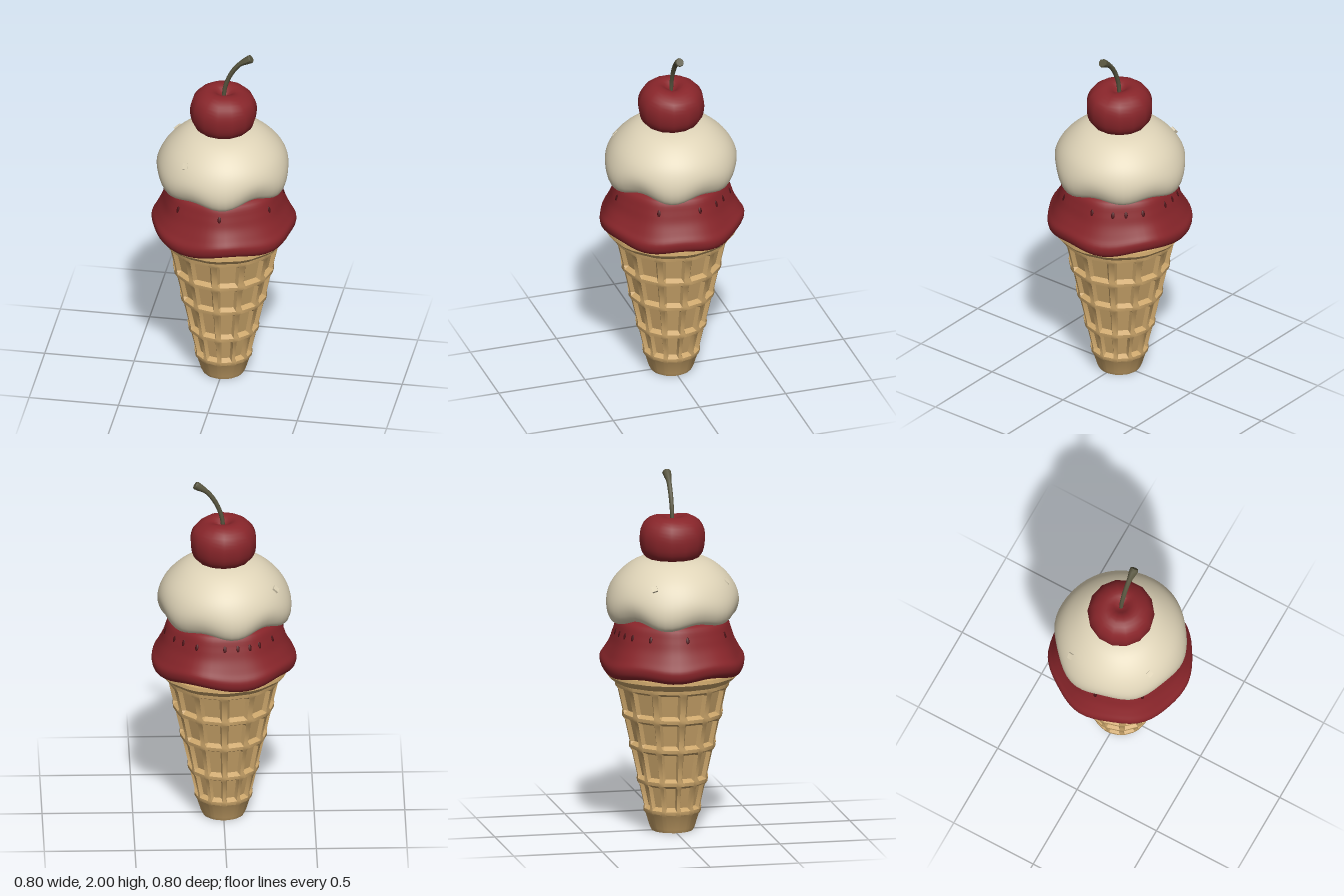
import * as THREE from 'three';
import { toCreasedNormals } from 'three/addons/utils/BufferGeometryUtils.js';

const mat = (name, color) => {
  const m = new THREE.MeshStandardMaterial({ color });
  m.name = name;
  return m;
};

// Recompute normals at a larger scale so that fine ridges stay distinct.
function crease(geo, angle) {
  geo.scale(50, 50, 50);
  const out = toCreasedNormals(geo, angle);
  out.scale(0.02, 0.02, 0.02);
  return out;
}

// Smooth turned body whose [radius, height] profile is bent by rule(r, y, phi).
function turned(profile, rows, segments, rule) {
  const curve = new THREE.CatmullRomCurve3(profile.map(([r, y]) => new THREE.Vector3(r, y, 0)));
  const pts = curve.getPoints(rows).map(p => new THREE.Vector2(Math.max(p.x, 0), p.y));
  const geo = new THREE.LatheGeometry(pts, segments);
  const pos = geo.attributes.position;
  for (let i = 0; i <= segments; i++) {
    const phi = (i % segments) / segments * Math.PI * 2;
    pts.forEach((p, j) => {
      const [r, y] = rule(p.x, p.y, phi);
      pos.setXYZ(i * pts.length + j, r * Math.sin(phi), y, r * Math.cos(phi));
    });
  }
  return crease(geo, 1.3);
}

// Waffle wall: twelve upright ribs and raised horizontal bands around sunken cells.
function waffleCone() {
  const rows = [[0, 0, 0], [0.115, 0, 0], [0.125, 0.02, 0], [0.148, 0.095, 0]];
  const bands = [0.12, 0.29, 0.485, 0.66, 0.835];
  const wall = y => 0.126 + 0.222 * y;
  bands.forEach((y, k) => {
    if (k) rows.push([wall(y - 0.03), y - 0.03, 1]);
    rows.push([wall(y) + 0.006, y - 0.012, 0], [wall(y) + 0.008, y + 0.008, 0]);
    if (k < bands.length - 1) rows.push([wall(y + 0.026), y + 0.026, 1]);
  });
  rows.push([0.345, 0.862, 0], [0.36, 0.88, 0], [0.357, 0.9, 0], [0.3, 0.905, 0], [0, 0.905, 0]);
  const geo = new THREE.LatheGeometry(rows.map(([r, y]) => new THREE.Vector2(r, y)), 48);
  const pos = geo.attributes.position;
  const offset = [-0.1, -0.055, 0.055, 0.1];
  for (let i = 0; i <= 48; i++) {
    const k = i % 48, side = k % 4;
    const phi = Math.floor(k / 4) * Math.PI / 6 + offset[side];
    const sunk = side === 0 || side === 3;
    rows.forEach(([r, y, cell], j) => {
      const d = r - (cell && sunk ? 0.022 : 0);
      pos.setXYZ(i * rows.length + j, d * Math.sin(phi), y, d * Math.cos(phi));
    });
  }
  return crease(geo, 0.6);
}

// Curved stalk, thin in the middle and flared at the tip.
function stalk() {
  const path = new THREE.CatmullRomCurve3([[0, 1.72], [0.012, 1.8], [0.045, 1.88], [0.09, 1.94], [0.152, 1.981]]
    .map(([x, y]) => new THREE.Vector3(x, y, 0)));
  const n = 16, sides = 8;
  const geo = new THREE.TubeGeometry(path, n, 1, sides);
  const pos = geo.attributes.position, v = new THREE.Vector3();
  for (let i = 0; i <= n; i++) {
    const t = i / n, c = path.getPointAt(t);
    const r = 0.011 + 0.004 * t + 0.01 * THREE.MathUtils.smoothstep(t, 0.75, 1);
    for (let j = 0; j <= sides; j++) {
      const id = i * (sides + 1) + j;
      v.fromBufferAttribute(pos, id).sub(c).multiplyScalar(r).add(c);
      pos.setXYZ(id, v.x, v.y, v.z);
    }
  }
  geo.computeVertexNormals();
  return { geo, end: path.getPointAt(1), dir: path.getTangentAt(1) };
}

export function createModel() {
  const group = new THREE.Group();
  group.name = 'iceCreamCone';
  const wafer = mat('wafer', 0xcca66b);
  const berry = mat('berry red', 0x88252a);
  const cream = mat('cream', 0xdfd4b8);
  const stemGreen = mat('stem green', 0x58553f);
  const seedRed = mat('dark seed red', 0x4c1216);
  const add = (name, geo, material, parent = group) => {
    const mesh = new THREE.Mesh(geo, material);
    mesh.name = name;
    parent.add(mesh);
    return mesh;
  };

  add('waffleCone', waffleCone(), wafer);

  // Lower scoop with a wide wavy skirt
  add('berryScoop', turned(
    [[0, 0.9], [0.2, 0.9], [0.33, 0.893], [0.385, 0.915], [0.398, 0.965], [0.375, 1.01], [0.345, 1.07],
      [0.325, 1.13], [0.3, 1.19], [0.24, 1.215], [0, 1.22]], 44, 60,
    (r, y, phi) => {
      const hem = THREE.MathUtils.smoothstep(r, 0.2, 0.38) * (1 - THREE.MathUtils.smoothstep(y, 0.95, 1.1));
      const w = Math.sin(5 * phi + 0.6) + 0.5 * Math.sin(3 * phi);
      return [r * (1 + 0.014 * Math.sin(7 * phi + 1)), y + 0.012 * hem * w];
    }), berry);

  // Upper scoop with a lobed lower edge
  add('creamScoop', turned(
    [[0, 1.22], [0.2, 1.215], [0.29, 1.2], [0.335, 1.21], [0.362, 1.26], [0.365, 1.32], [0.34, 1.39],
      [0.29, 1.455], [0.21, 1.515], [0.12, 1.542], [0, 1.55]], 44, 60,
    (r, y, phi) => {
      const hem = THREE.MathUtils.smoothstep(r, 0.15, 0.3) * (1 - THREE.MathUtils.smoothstep(y, 1.22, 1.42));
      const w = Math.sin(6 * phi + 0.4) + 0.5 * Math.sin(4 * phi + 2);
      return [r * (1 + 0.022 * hem * w) - 0.008 * hem * Math.sin(phi), y - 0.014 * hem * w];
    }), cream);

  // Seeds pressed into the lower scoop, by angle from +x towards +z
  const seeds = new THREE.Group();
  seeds.name = 'seeds';
  group.add(seeds);
  [30, 84, 130, 177, -11, -32, -45, -62, -90, -103, -115, -126, -146].forEach((deg, i) => {
    const a = THREE.MathUtils.degToRad(deg);
    const phi = Math.PI / 2 - a;
    const r = 0.325 * (1 + 0.014 * Math.sin(7 * phi + 1));
    const seed = add('seed' + (i + 1), new THREE.SphereGeometry(1, 8, 6), seedRed, seeds);
    seed.scale.set(0.01, 0.019, 0.004);
    seed.position.set(r * Math.cos(a), 1.13, r * Math.sin(a));
    seed.rotation.set(-0.35, phi, 0, 'YXZ');
  });

  // Small chips on the upper scoop
  [[0.13, -0.28], [-0.285, -0.16], [-0.165, 0.27]].forEach(([x, z], i) => {
    const chip = add('chip' + (i + 1), new THREE.BoxGeometry(0.03, 0.034, 0.012), cream);
    chip.position.set(x, 1.42, z);
    chip.rotation.set(-0.7, Math.atan2(x, z), 0.4, 'YXZ');
  });

  // Cherry with a dimple at the top
  add('cherry', turned(
    [[0, 1.525], [0.08, 1.525], [0.135, 1.532], [0.17, 1.57], [0.184, 1.63], [0.18, 1.685], [0.155, 1.735],
      [0.105, 1.768], [0.06, 1.768], [0.02, 1.742], [0, 1.735]], 26, 14,
    (r, y, phi) => [r, y - 0.014 * Math.max(0, Math.sin(phi)) ** 4
      * THREE.MathUtils.smoothstep(y, 1.7, 1.76)]), berry);

  // Stalk and its flat tip
  const { geo, end, dir } = stalk();
  add('cherryStalk', geo, stemGreen);
  const tip = add('stalkTip', new THREE.CylinderGeometry(0.021, 0.025, 0.01, 8), stemGreen);
  tip.position.copy(end);
  tip.quaternion.setFromUnitVectors(new THREE.Vector3(0, 1, 0), dir);

  return group;
}
